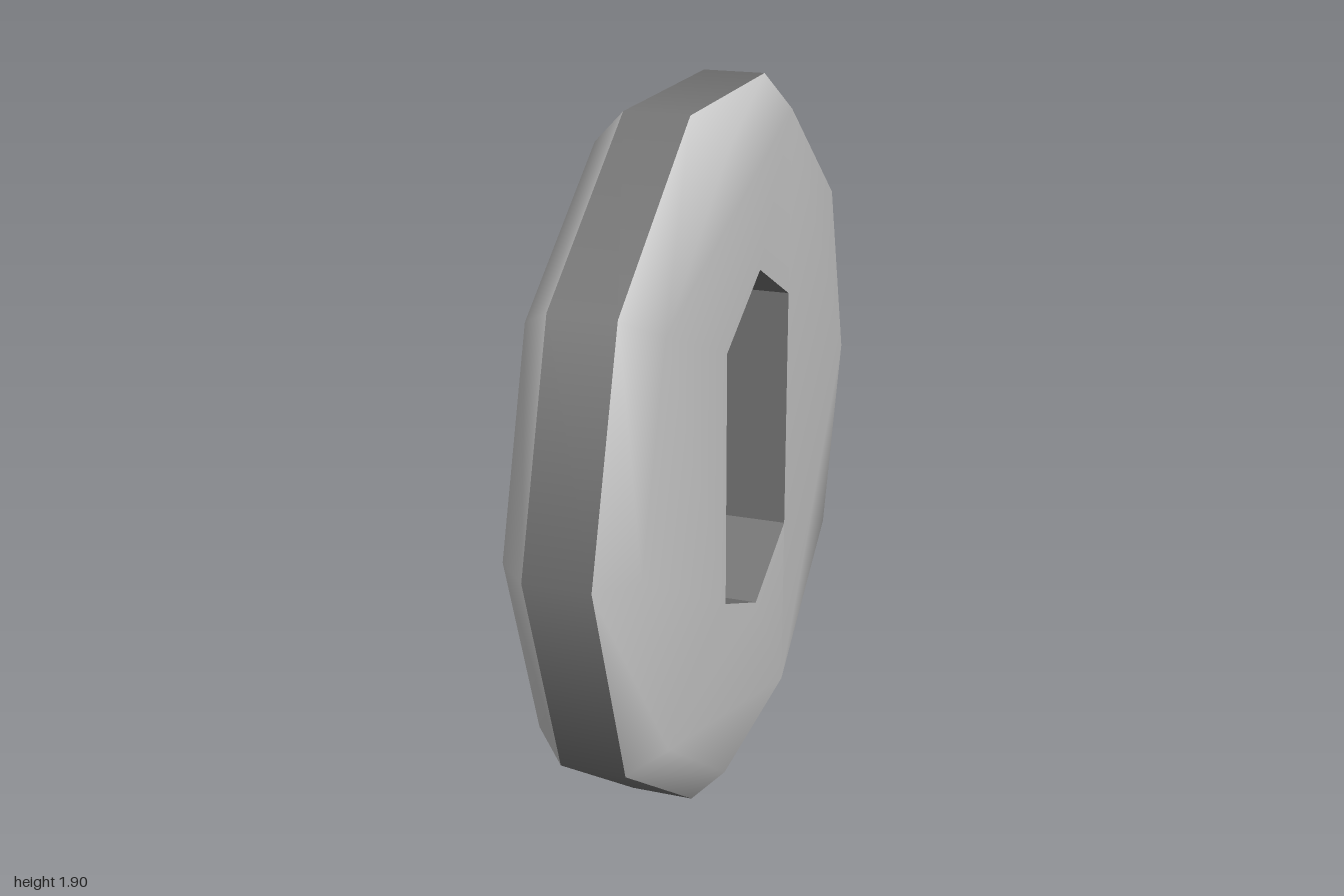
import * as THREE from 'three';

const R = 1, CENTER_Y = 0.951, HALF = 0.173, RIM_HALF = 0.086, INSET = 0.91, SIDES = 10;

// The disc is modelled around the z axis, then turned to face sideways
const outline = (r) => Array.from({ length: SIDES }, (_, i) => {
  const a = (i / SIDES) * Math.PI * 2;
  return new THREE.Vector2(Math.cos(a) * r, Math.sin(a) * r);
});

// Elongated hexagonal slot, counter-clockwise
const slot = [[0.28, -0.35], [0.28, 0.35], [0, 0.493], [-0.28, 0.35], [-0.28, -0.35], [0, -0.477]]
  .map(([x, y]) => new THREE.Vector2(x, y));

function geometry(points, index) {
  const g = new THREE.BufferGeometry().setFromPoints(points);
  g.setIndex(index);
  return g;
}

// Quads between two rings stored one after the other; first ring behind, outward facing
function band(n, first, second) {
  const index = [];
  for (let i = 0; i < n; i++) {
    const j = (i + 1) % n;
    index.push(first + i, first + j, second + j, first + i, second + j, second + i);
  }
  return index;
}

// Smoothly shaded chamfer and flat face with the slot cut out
function faceGeometry() {
  const outer = outline(R), inner = outline(R * INSET);
  const points = [
    ...outer.map((p) => new THREE.Vector3(p.x, p.y, RIM_HALF)),
    ...[...inner, ...slot].map((p) => new THREE.Vector3(p.x, p.y, HALF)),
  ];
  const index = band(SIDES, 0, SIDES);
  for (const t of THREE.ShapeUtils.triangulateShape(inner, [slot])) {
    const [a, b, c] = t.map((i) => i + SIDES);
    const pa = points[a], pb = points[b], pc = points[c];
    const area = (pb.x - pa.x) * (pc.y - pa.y) - (pb.y - pa.y) * (pc.x - pa.x);
    if (area > 0) index.push(a, b, c);
    else index.push(a, c, b);
  }
  const g = geometry(points, index);
  g.computeVertexNormals();
  return g;
}

// Flat walls inside the slot, facing the opening
function slotGeometry() {
  const n = slot.length;
  const points = [HALF, -HALF].flatMap((z) => slot.map((p) => new THREE.Vector3(p.x, p.y, z)));
  const g = geometry(points, band(n, 0, n)).toNonIndexed();
  g.computeVertexNormals();
  return g;
}

export function createModel() {
  const light = new THREE.MeshStandardMaterial({ name: 'light grey', color: 0xcccccc });
  const dark = new THREE.MeshStandardMaterial({ name: 'dark grey', color: 0x737373 });
  const model = new THREE.Group();
  model.name = 'slottedCoin';
  const add = (name, geo, mat) => {
    const mesh = new THREE.Mesh(geo, mat);
    mesh.name = name;
    model.add(mesh);
    return mesh;
  };

  // Two mirrored faces
  const face = faceGeometry();
  add('rightFace', face, light);
  add('leftFace', face, light).rotation.y = Math.PI;

  // Outer rim
  const rim = new THREE.CylinderGeometry(R, R, RIM_HALF * 2, SIDES, 1, true, Math.PI / 2);
  rim.rotateX(Math.PI / 2);
  add('rim', rim, dark);

  // Slot walls
  add('slotWalls', slotGeometry(), dark);

  model.rotation.y = Math.PI / 2;
  model.position.y = CENTER_Y;
  return model;
}
